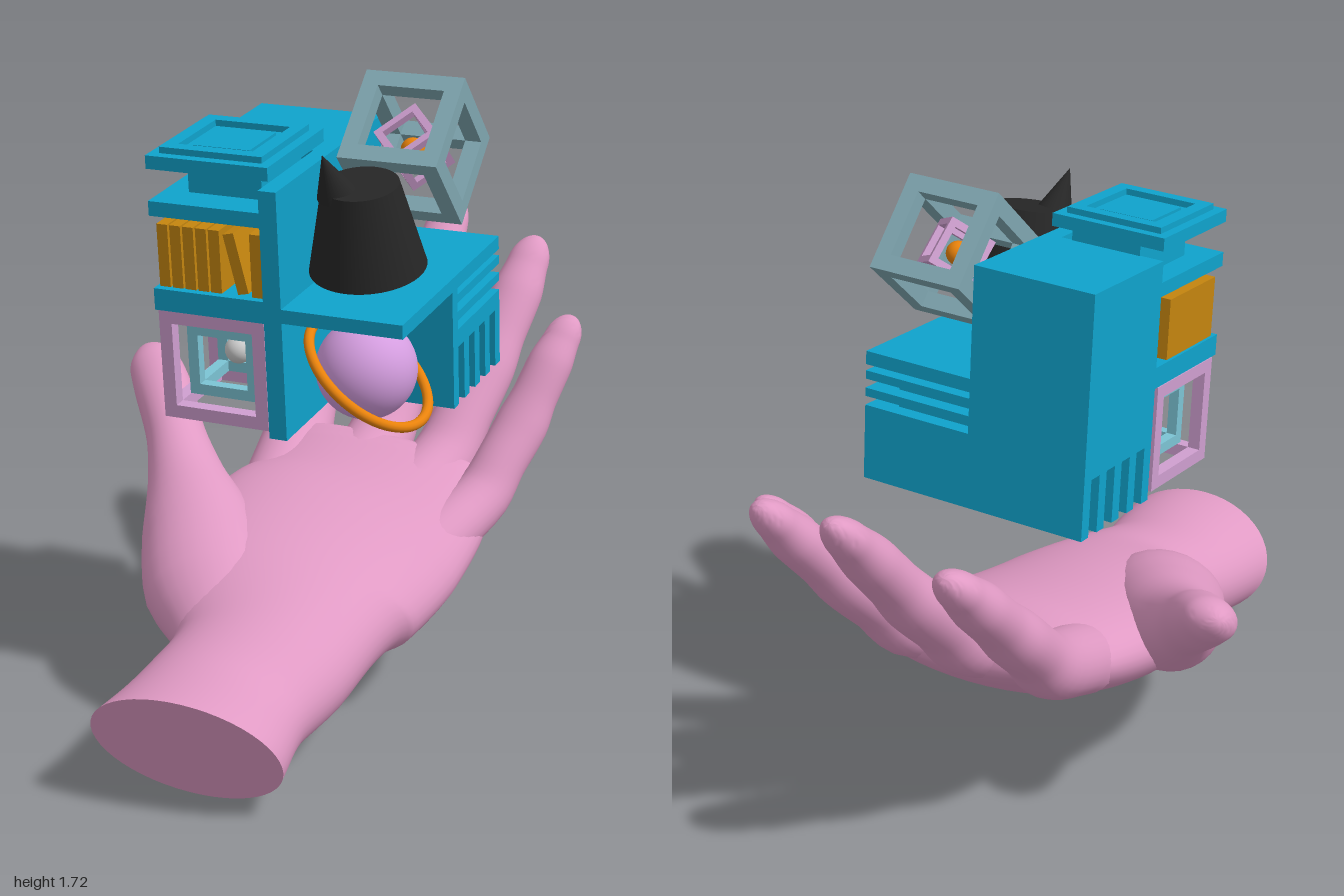
import * as THREE from 'three';
import { toCreasedNormals } from 'three/addons/utils/BufferGeometryUtils.js';

const mat = (color) => new THREE.MeshStandardMaterial({ color });
const skin = mat(0xe09ac4), blue = mat(0x0fa3cc), black = mat(0x262626), orange = mat(0xe8820c);
const ochre = mat(0xc4850f), lilac = mat(0xd59ee0), mauve = mat(0xcf9fd0), steel = mat(0x7fa6b0);
const aqua = mat(0x7cc4d4), grey = mat(0xcccccc);

function add(parent, name, geometry, material, x = 0, y = 0, z = 0) {
  const m = new THREE.Mesh(geometry, material);
  m.name = name;
  m.position.set(x, y, z);
  parent.add(m);
  return m;
}

// Box given by its extents
function block(parent, name, x0, x1, y0, y1, z0, z1, material = blue) {
  return add(parent, name, new THREE.BoxGeometry(x1 - x0, y1 - y0, z1 - z0), material,
    (x0 + x1) / 2, (y0 + y1) / 2, (z0 + z1) / 2);
}

// Open cube made of twelve bars
function cubeFrame(parent, name, size, bar, material) {
  const g = new THREE.Group();
  g.name = name;
  const o = (size - bar) / 2;
  for (const axis of ['x', 'y', 'z']) {
    for (const a of [-o, o]) for (const b of [-o, o]) {
      const len = axis === 'x' ? size : size - 2 * bar;
      const m = add(g, 'bar', new THREE.BoxGeometry(
        axis === 'x' ? len : bar, axis === 'y' ? len : bar, axis === 'z' ? len : bar), material);
      if (axis === 'x') m.position.set(0, a, b);
      if (axis === 'y') m.position.set(a, 0, b);
      if (axis === 'z') m.position.set(a, b, 0);
    }
  }
  parent.add(g);
  return g;
}

// Oval cross-sections along a curve; each row is x, y, z, half width, half height, roll
function loft(rows, { steps = 36, sides = 28, lean = 0, round = 0.12 } = {}) {
  const path = new THREE.CatmullRomCurve3(rows.map((r) => new THREE.Vector3(r[0], r[1], r[2])));
  const size = new THREE.CatmullRomCurve3(rows.map((r) => new THREE.Vector3(r[3], r[4], r[5] || 0)));
  const pos = [], index = [];
  for (let i = 0; i <= steps; i++) {
    const k = i / steps;
    const t = 1 - Math.pow(1 - k, 1.5); // denser near the tip
    const c = path.getPoint(t), s = size.getPoint(t), T = path.getTangent(t);
    T.y += lean * Math.max(0, 1 - 2 * t);
    T.normalize();
    const S = new THREE.Vector3(Math.cos(s.z), Math.sin(s.z), 0);
    S.addScaledVector(T, -S.dot(T)).normalize();
    const U = S.clone().cross(T);
    const e = Math.max(0, (t - 1 + round) / round);
    const f = Math.sqrt(Math.max(0.0004, 1 - e * e));
    for (let j = 0; j < sides; j++) {
      const a = (j / sides) * Math.PI * 2;
      const p = c.clone().addScaledVector(S, Math.cos(a) * s.x * f).addScaledVector(U, Math.sin(a) * s.y * f);
      pos.push(p.x, p.y, p.z);
    }
  }
  for (let i = 0; i < steps; i++) for (let j = 0; j < sides; j++) {
    const a = i * sides + j, c = i * sides + (j + 1) % sides;
    index.push(a, a + sides, c, c, a + sides, c + sides);
  }
  const first = path.getPoint(0), last = path.getPoint(1), n = pos.length / 3, end = steps * sides;
  pos.push(first.x, first.y, first.z, last.x, last.y, last.z);
  for (let j = 0; j < sides; j++) {
    const j1 = (j + 1) % sides;
    index.push(n, j, j1, n + 1, end + j1, end + j);
  }
  const g = new THREE.BufferGeometry();
  g.setAttribute('position', new THREE.Float32BufferAttribute(pos, 3));
  g.setIndex(index);
  return toCreasedNormals(g, 1.0);
}

function buildHand(root) {
  const hand = new THREE.Group();
  hand.name = 'hand';
  root.add(hand);
  add(hand, 'palm', loft([
    [0.135, 0.18, 0.92, 0.265, 0.19, 0], [0.13, 0.205, 0.72, 0.24, 0.168, 0],
    [0.15, 0.25, 0.5, 0.255, 0.168, -0.08], [0.1, 0.32, 0.25, 0.36, 0.175, -0.15],
    [0.1, 0.38, 0, 0.39, 0.165, -0.15], [0.125, 0.44, -0.2, 0.375, 0.14, -0.1],
    [0.125, 0.52, -0.36, 0.34, 0.1, -0.08], [0.13, 0.57, -0.43, 0.31, 0.07, -0.05],
  ], { steps: 60, sides: 48, lean: 0.4, round: 0.08 }), skin);
  add(hand, 'thumb', loft([
    [0.02, 0.28, 0.48, 0.12, 0.1], [-0.1, 0.37, 0.32, 0.18, 0.15], [-0.22, 0.44, 0.14, 0.16, 0.15],
    [-0.33, 0.53, 0, 0.11, 0.115], [-0.42, 0.62, -0.11, 0.085, 0.09], [-0.5, 0.7, -0.2, 0.085, 0.08],
    [-0.57, 0.76, -0.27, 0.075, 0.06], [-0.62, 0.795, -0.315, 0.05, 0.045],
  ], { round: 0.14 }), skin);
  const fingers = {
    indexFinger: [1, [-0.13, 0.46, -0.2], [-0.165, 0.57, -0.42], [-0.185, 0.76, -0.61], [-0.19, 0.94, -0.78], [-0.185, 1.09, -0.92]],
    middleFinger: [1, [0.06, 0.46, -0.2], [0.085, 0.57, -0.44], [0.09, 0.8, -0.66], [0.1, 1.01, -0.83], [0.1, 1.19, -0.985]],
    ringFinger: [0.96, [0.24, 0.45, -0.2], [0.295, 0.55, -0.42], [0.34, 0.76, -0.61], [0.38, 0.96, -0.77], [0.4, 1.11, -0.89]],
    littleFinger: [0.82, [0.38, 0.4, -0.12], [0.455, 0.49, -0.31], [0.515, 0.66, -0.45], [0.565, 0.83, -0.55], [0.6, 0.955, -0.64]],
  };
  const girth = [[0.11, 0.1], [0.1, 0.092], [0.094, 0.08], [0.08, 0.068], [0.06, 0.045]];
  for (const [name, [k, ...pts]] of Object.entries(fingers)) {
    const rows = [];
    pts.forEach((p, i) => {
      rows.push([...p, girth[i][0] * k, girth[i][1] * k]);
      // slimmer between the joints
      if (i > 0 && i < 4) rows.push([...p.map((v, a) => (v + pts[i + 1][a]) / 2),
        (girth[i][0] + girth[i + 1][0]) * 0.47 * k, (girth[i][1] + girth[i + 1][1]) * 0.47 * k]);
    });
    add(hand, name, loft(rows, { steps: 40, round: 0.13 }), skin);
  }
}

function buildShelves(root) {
  const s = new THREE.Group();
  s.name = 'shelfBuilding';
  s.position.set(0, 1.2, 0.1);
  s.rotation.x = 0.1;
  root.add(s);

  // Main masses
  block(s, 'tower', -0.2, 0.165, -0.155, 0.345, -0.376, -0.026);
  block(s, 'partition', 0.115, 0.165, -0.338, 0.345, -0.03, 0.316);
  block(s, 'platform', 0.165, 0.5, -0.008, 0.03, -0.376, 0.316);
  block(s, 'louvreCore', 0.16, 0.42, -0.17, 0, -0.33, -0.026);
  block(s, 'louvreFront', 0.16, 0.5, -0.17, 0, -0.062, -0.026);
  for (let i = 0; i < 3; i++) {
    const y = -0.05 - i * 0.05;
    block(s, 'louvre', 0.16, 0.5, y, y + 0.024, -0.376, -0.03);
  }
  block(s, 'finBeam', -0.2, 0.5, -0.175, -0.145, -0.376, -0.026);
  for (let i = 0; i < 5; i++) {
    const z = -0.376 + i * 0.0785;
    block(s, 'fin', -0.2, 0.5, -0.34, -0.15, z, z + 0.036);
  }

  // Shelves and stepped lid
  block(s, 'lowerShelf', -0.2, 0.12, -0.015, 0.045, -0.03, 0.316);
  block(s, 'upperShelf', -0.2, 0.12, 0.245, 0.285, -0.03, 0.316);
  block(s, 'lidNeck', -0.13, 0.08, 0.28, 0.38, -0.03, 0.22);
  block(s, 'lid', -0.2, 0.145, 0.372, 0.408, -0.03, 0.316);
  const square = (h) => [[-h, -h], [h, -h], [h, h], [-h, h]].map((p) => new THREE.Vector2(...p));
  const rim = new THREE.Shape(square(0.145));
  rim.holes.push(new THREE.Path(square(0.108)));
  const rimGeo = new THREE.ExtrudeGeometry(rim, { depth: 0.02, bevelEnabled: false }).rotateX(-Math.PI / 2);
  add(s, 'lidRim', rimGeo, blue, -0.028, 0.405, 0.143);
  block(s, 'lidPanel', -0.108, 0.052, 0.4, 0.416, 0.063, 0.223);

  // Row of books, one leaning
  for (let i = 0; i < 7; i++) {
    const lean = i === 5;
    const x = i === 6 ? 0.09 : -0.176 + i * 0.0372 + (lean ? 0.022 : 0);
    const b = add(s, 'book', new THREE.BoxGeometry(0.031, lean ? 0.165 : 0.172, 0.25), ochre, x, 0.131, 0.17);
    if (lean) b.rotation.z = 0.22;
  }

  // Nested cubes under the books
  const nest = new THREE.Group();
  nest.name = 'nestedCubes';
  nest.position.set(-0.045, -0.172, 0.15);
  s.add(nest);
  cubeFrame(nest, 'outerCube', 0.305, 0.036, mauve);
  cubeFrame(nest, 'innerCube', 0.2, 0.03, aqua);
  add(nest, 'pearl', new THREE.SphereGeometry(0.038, 24, 16), grey);

  // Ringed globe under the platform
  add(s, 'globe', new THREE.SphereGeometry(0.134, 40, 28), lilac, 0.333, -0.168, 0.167);
  const ring = add(s, 'globeRing', new THREE.TorusGeometry(0.187, 0.014, 12, 64).rotateX(Math.PI / 2), orange, 0.34, -0.175, 0.167);
  ring.rotation.z = -0.686;
}

function buildOrnaments(root) {
  // Tilted cube frame with a smaller one inside
  const cage = cubeFrame(root, 'tiltedCube', 0.28, 0.046, steel);
  cage.position.set(0.317, 1.532, -0.1);
  cage.rotation.x = Math.PI / 4;
  const inner = cubeFrame(root, 'smallCube', 0.135, 0.02, mauve);
  inner.position.copy(cage.position);
  inner.rotation.set(0.6, 0.78, 0.2);
  add(root, 'smallBead', new THREE.SphereGeometry(0.033, 20, 14), orange, 0.317, 1.527, -0.09);

  // Dark tapered vessel with a horn
  const vessel = add(root, 'taperedVessel', new THREE.CylinderGeometry(0.1, 0.153, 0.235, 40), black, 0.337, 1.408, 0.283);
  vessel.rotation.x = 0.24;
  const horn = add(root, 'horn', new THREE.ConeGeometry(0.05, 0.125, 24), black, 0.283, 1.557, 0.385);
  horn.rotation.set(0.5, 0, 0.1);
}

export function createModel() {
  const root = new THREE.Group();
  root.name = 'handWithShelfBuilding';
  buildHand(root);
  buildShelves(root);
  buildOrnaments(root);
  return root;
}
